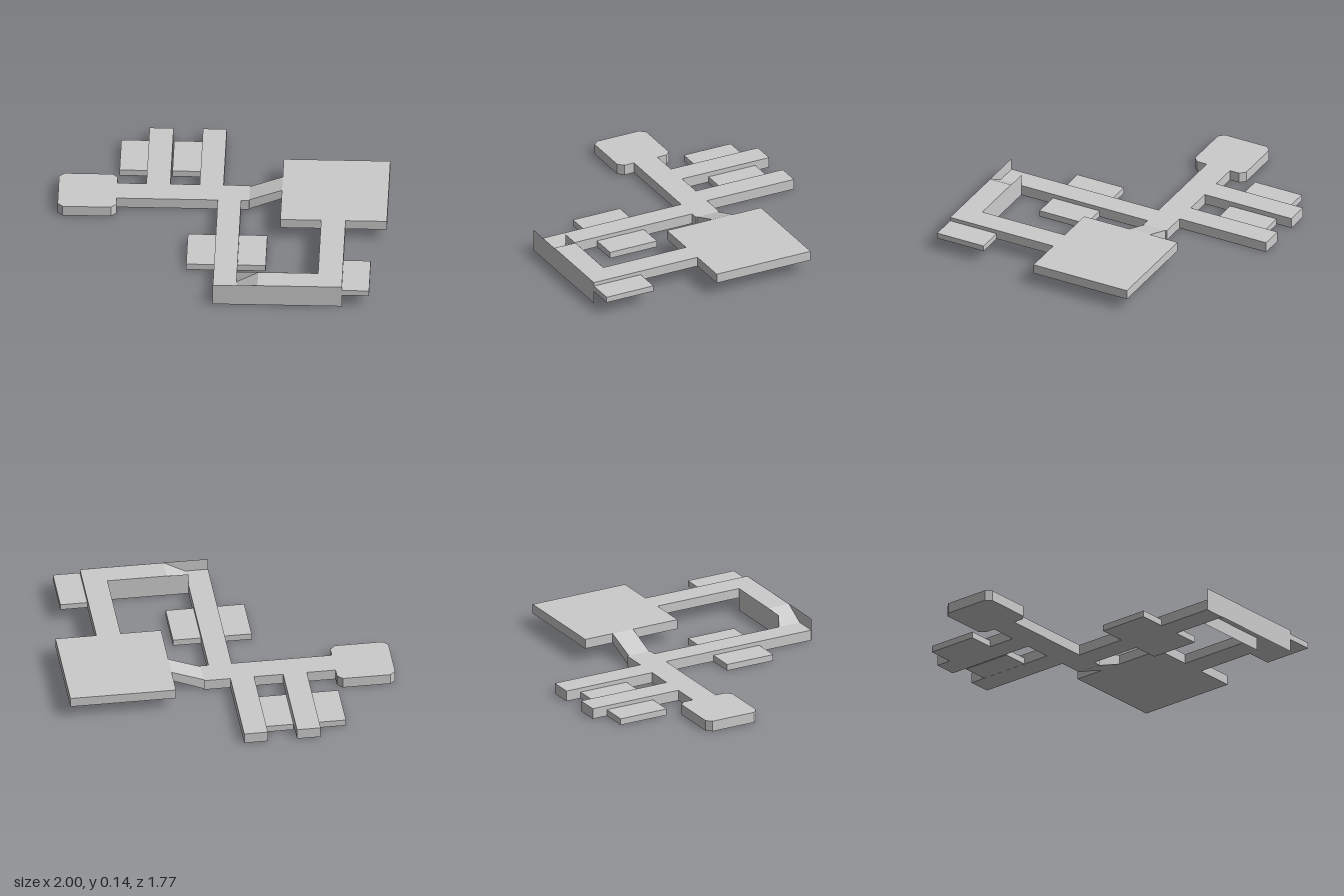
import * as THREE from 'three';

export function createModel() {
  const model = new THREE.Group();
  const grey = new THREE.MeshStandardMaterial({ color: 0xcccccc, flatShading: true });
  const thin = new THREE.MeshStandardMaterial({ color: 0xcccccc, flatShading: true, side: THREE.DoubleSide });

  const LOW = 0.066, UP = 0.08, TOP = 0.14;

  const add = (name, geometry, material = grey) => {
    const mesh = new THREE.Mesh(geometry, material);
    mesh.name = name;
    model.add(mesh);
  };
  const shapeOf = (points) => new THREE.Shape(points.map(([x, y]) => new THREE.Vector2(x, y)));

  // Flat slab from a plan outline of [x, z] points
  const slab = (name, outline, y0, y1) => {
    const shape = shapeOf(outline.map(([x, z]) => [x, -z]));
    const g = new THREE.ExtrudeGeometry(shape, { depth: y1 - y0, bevelEnabled: false });
    g.rotateX(-Math.PI / 2).translate(0, y0, 0);
    add(name, g);
  };
  // Box from its limits
  const block = (name, x0, x1, y0, y1, z0, z1) => {
    const g = new THREE.BoxGeometry(x1 - x0, y1 - y0, z1 - z0);
    g.translate((x0 + x1) / 2, (y0 + y1) / 2, (z0 + z1) / 2);
    add(name, g);
  };
  // Sloping slab joining the lower floor (at x0) to the upper floor (at x1)
  const ramp = (name, x0, x1, z0, z1) => {
    const shape = shapeOf([[x0, 0], [x1, UP], [x1, TOP], [x0, LOW]]);
    const g = new THREE.ExtrudeGeometry(shape, { depth: z1 - z0, bevelEnabled: false });
    add(name, g.translate(0, 0, z0));
  };
  // Thin upright sheet facing the front
  const wall = (name, x0, x1, z) => {
    const g = new THREE.PlaneGeometry(x1 - x0, TOP);
    add(name, g.translate((x0 + x1) / 2, TOP / 2, z), thin);
  };

  // Lower floor: main corridor, two back corridors and one front corridor
  slab('lowerCorridors', [
    [-0.645, -0.29], [-0.47, -0.29], [-0.47, -0.885], [-0.325, -0.885], [-0.325, -0.29],
    [-0.147, -0.29], [-0.147, -0.885], [-0.003, -0.885], [-0.003, -0.29], [0.157, -0.29],
    [0.157, -0.13], [0.108, -0.13], [0.108, 0.88], [-0.033, 0.88], [-0.033, -0.13], [-0.645, -0.13],
  ], 0, LOW);

  // Room with clipped corners at the end of the main corridor
  const c = 0.032, xa = -1, xb = -0.645, za = -0.385, zb = -0.032;
  slab('clippedRoom', [
    [xa + c, za], [xb - c, za], [xb, za + c], [xb, zb - c],
    [xb - c, zb], [xa + c, zb], [xa, zb - c], [xa, za + c],
  ], 0, LOW);

  // Small low rooms beside the corridors
  for (const x of [-0.638, -0.318]) block('backSideRoom', x, x + 0.17, 0, 0.04, -0.787, -0.467);
  for (const x of [-0.203, 0.108]) block('frontSideRoom', x, x + 0.17, 0, 0.04, 0.2, 0.52);

  // Upper floor: large room, corridor and bridge
  slab('upperFloor', [
    [0.355, -0.47], [1, -0.47], [1, 0.172], [0.75, 0.172], [0.75, 0.88],
    [0.24, 0.88], [0.24, 0.738], [0.602, 0.738], [0.602, 0.172], [0.355, 0.172],
  ], UP, TOP);
  block('upperSideRoom', 0.75, 0.915, UP, 0.116, 0.56, 0.88);

  // Ramps between the floors
  ramp('backRamp', 0.157, 0.355, -0.28, -0.138);
  ramp('frontRamp', 0.108, 0.24, 0.738, 0.88);

  // Sheets enclosing the space under the bridge
  wall('outerBridgeWall', -0.033, 0.75, 0.881);
  wall('innerBridgeWall', 0.108, 0.602, 0.737);

  return model;
}
